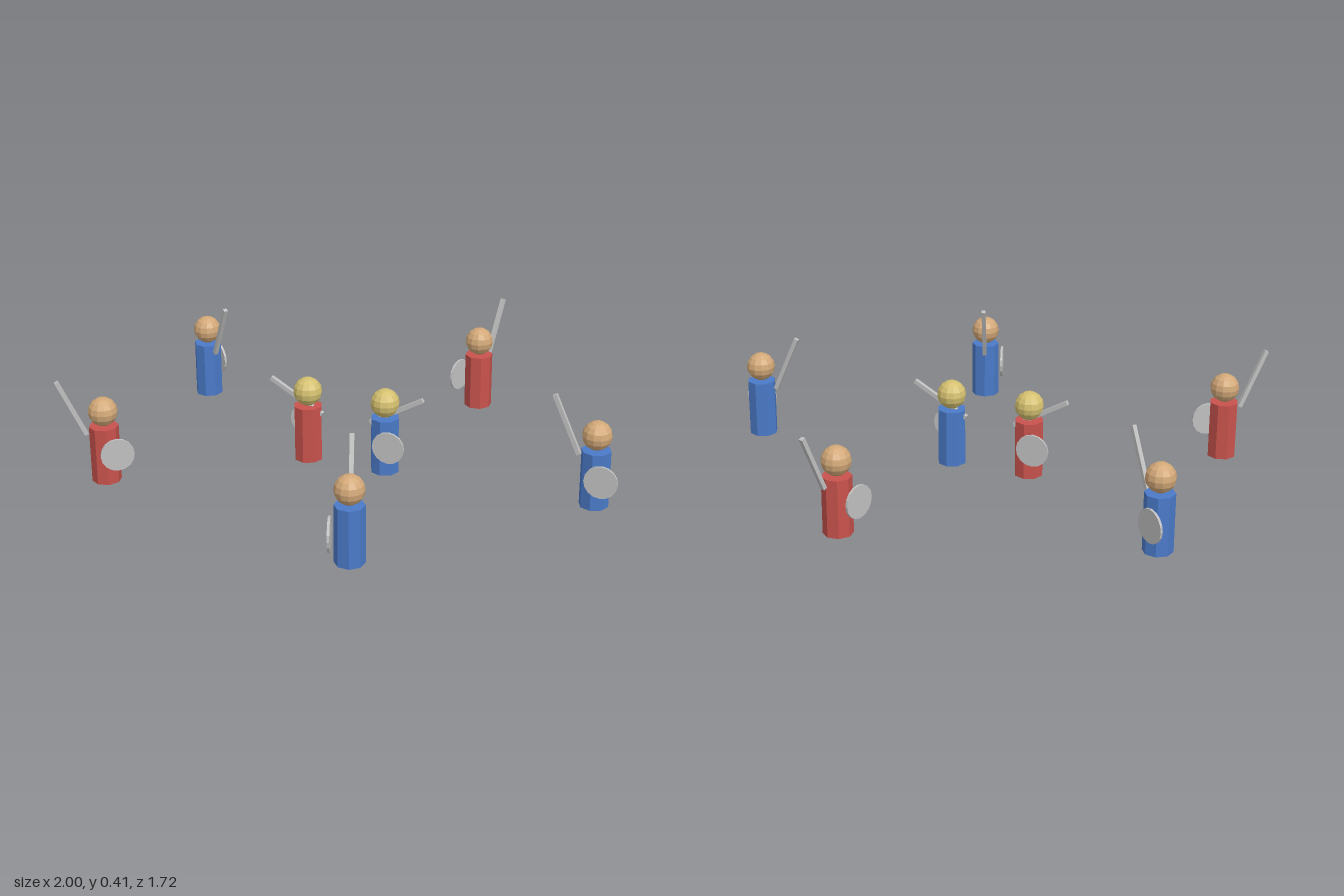
import * as THREE from 'three';

const paint = (name, color, flatShading = true) => {
  const m = new THREE.MeshStandardMaterial({ color, flatShading });
  m.name = name;
  return m;
};

export function createModel() {
  const blue = paint('blueCloth', 0x4a7ac8);
  const red = paint('redCloth', 0xc8524c);
  const skin = paint('skin', 0xd2a878);
  const gold = paint('gold', 0xd4c070);
  const steel = paint('steel', 0xc0c0c0);

  const bodyGeo = new THREE.CylinderGeometry(0.055, 0.055, 0.22, 8);
  const headGeo = new THREE.SphereGeometry(0.055, 12, 8);
  const swordGeo = new THREE.BoxGeometry(0.016, 0.24, 0.016);
  const shieldGeo = new THREE.CylinderGeometry(0.063, 0.063, 0.009, 16).rotateX(Math.PI / 2);

  const add = (parent, name, geo, mat, x, y, z) => {
    const mesh = new THREE.Mesh(geo, mat);
    mesh.name = name;
    mesh.position.set(x, y, z);
    parent.add(mesh);
    return mesh;
  };

  // One fighter: leaders have gold heads and a lowered sword on the other side
  const fighter = (name, x, z, degrees, cloth, leader) => {
    const g = new THREE.Group();
    g.name = name;
    add(g, 'body', bodyGeo, cloth, 0, 0.11, 0);
    add(g, 'head', headGeo, leader ? gold : skin, 0, 0.277, 0);
    const sword = leader
      ? add(g, 'sword', swordGeo, steel, 0.045, 0.25, 0)
      : add(g, 'sword', swordGeo, steel, -0.113, 0.302, 0);
    sword.rotation.z = leader ? -1.05 : 0.42;
    add(g, 'shield', shieldGeo, steel, 0.037, 0.126, 0.067);
    g.position.set(x, 0, z);
    g.rotation.y = -THREE.MathUtils.degToRad(degrees);
    return g;
  };

  const model = new THREE.Group();
  model.name = 'duel';

  // Two leaders face each other in the middle
  model.add(fighter('redLeader', -0.225, 0.018, 180, red, true));
  model.add(fighter('blueLeader', 0.087, 0.018, 0, blue, true));

  // Five fighters around them; the red ones are turned outwards
  const ring = [blue, blue, red, blue, red];
  ring.forEach((cloth, i) => {
    const a = (i * 2 * Math.PI) / 5;
    const x = -0.073 + 0.97 * Math.cos(a);
    const z = 0.018 + 0.757 * Math.sin(a);
    const turn = i * 72 + (cloth === red ? 180 : 0);
    model.add(fighter('fighter' + (i + 1), x, z, turn, cloth, false));
  });
  return model;
}
